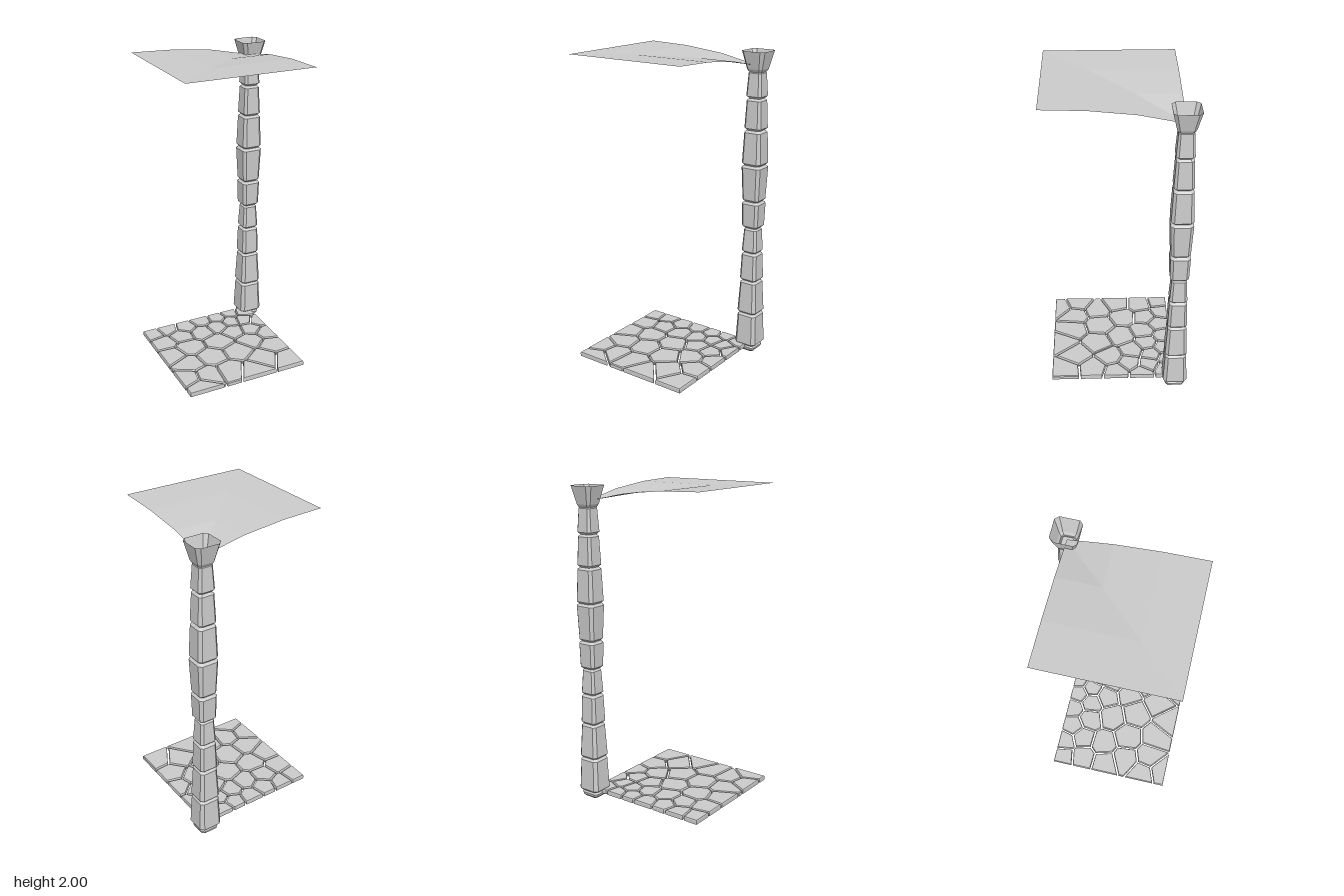
import * as THREE from 'three';

const PX = 0.362, PZ = -0.365; // pillar axis, shared corner of floor and canopy
const MIN = -0.445, MAX = 0.44;

const stoneMat = new THREE.MeshStandardMaterial({ color: 0xcccccc, flatShading: true });
const shellMat = new THREE.MeshStandardMaterial({ color: 0xcccccc, flatShading: true, side: THREE.DoubleSide });

function toMesh(positions, index, material, name) {
  const g = new THREE.BufferGeometry();
  g.setAttribute('position', new THREE.Float32BufferAttribute(positions.flat(), 3));
  g.setIndex(index);
  const flat = g.toNonIndexed();
  flat.computeVertexNormals();
  const mesh = new THREE.Mesh(flat, material);
  mesh.name = name;
  return mesh;
}

// Skin stacked rings (lowest first) and close the ends with fans
function loft(rings, material, name, capTop = true) {
  const n = rings[0].length, pos = rings.flat(), idx = [];
  for (let r = 0; r < rings.length - 1; r++) {
    for (let i = 0; i < n; i++) {
      const a = r * n + i, b = r * n + (i + 1) % n;
      idx.push(a, a + n, b, b, a + n, b + n);
    }
  }
  const last = (rings.length - 1) * n;
  for (let i = 1; i < n - 1; i++) {
    idx.push(0, i, i + 1);
    if (capTop) idx.push(last, last + i + 1, last + i);
  }
  return toMesh(pos, idx, material, name);
}

// Square ring with cut corners around the pillar axis
function ring(y, h, cut = h * 0.28) {
  const k = h - cut;
  return [[h, -k], [h, k], [k, h], [-k, h], [-h, k], [-h, -k], [-k, -h], [k, -h]]
    .map(([x, z]) => [PX + x, y, PZ + z]);
}

// Keep the part of a polygon where (p - m) . d <= 0
function clip(poly, mx, mz, dx, dz) {
  const out = [];
  poly.forEach((p, i) => {
    const q = poly[(i + 1) % poly.length];
    const sp = (p[0] - mx) * dx + (p[1] - mz) * dz;
    const sq = (q[0] - mx) * dx + (q[1] - mz) * dz;
    if (sp <= 0) out.push(p);
    if (sp * sq < 0) {
      const t = sp / (sp - sq);
      out.push([p[0] + (q[0] - p[0]) * t, p[1] + (q[1] - p[1]) * t]);
    }
  });
  return out;
}

function buildPillar() {
  const pillar = new THREE.Group();
  pillar.name = 'pillar';
  // bottom y, top y, bottom half width, top half width
  const blocks = [
    [0, 0.045, 0.06, 0.064],
    [0.045, 0.272, 0.077, 0.068],
    [0.272, 0.502, 0.07, 0.059],
    [0.502, 0.697, 0.061, 0.055],
    [0.697, 0.868, 0.055, 0.046],
    [0.868, 1.046, 0.057, 0.061],
    [1.046, 1.285, 0.059, 0.068],
    [1.285, 1.51, 0.067, 0.059],
    [1.51, 1.71, 0.059, 0.051],
    [1.71, 1.88, 0.054, 0.045],
  ];
  const bevel = 0.014;
  blocks.forEach(([y0, y1, h0, h1], i) => {
    pillar.add(loft([
      ring(y0, h0 - bevel), ring(y0 + bevel, h0), ring(y1 - bevel, h1), ring(y1, h1 - bevel),
    ], stoneMat, i ? 'pillarStone' : 'pillarFoot'));
  });
  // Flared, open topped capital
  pillar.add(loft([ring(1.872, 0.044), ring(1.89, 0.054), ring(2, 0.081)], shellMat, 'capital', false));
  return pillar;
}

function buildFloor() {
  const floor = new THREE.Group();
  floor.name = 'floor';
  // Stone centres as fractions across x and z, smaller toward the pillar and back
  const seeds = [
    [0.06, 0.07], [0.2, 0.05], [0.36, 0.09], [0.52, 0.05], [0.67, 0.07], [0.8, 0.04], [0.93, 0.07],
    [0.09, 0.24], [0.27, 0.2], [0.45, 0.22], [0.61, 0.2], [0.75, 0.17], [0.87, 0.2], [0.97, 0.26],
    [0.08, 0.45], [0.26, 0.4], [0.52, 0.42], [0.7, 0.33], [0.85, 0.36], [0.95, 0.47],
    [0.16, 0.62], [0.36, 0.6], [0.6, 0.62], [0.77, 0.52], [0.9, 0.66],
    [0.06, 0.8], [0.23, 0.83], [0.42, 0.85], [0.58, 0.93], [0.74, 0.8], [0.92, 0.9], [0.12, 0.96],
  ].map(([s, t]) => [MIN + s * (PX - MIN), PZ + t * (MAX - PZ)]);
  const gap = 0.012;
  seeds.forEach((s, i) => {
    let poly = [[MIN, PZ], [PX, PZ], [PX, MAX], [MIN, MAX]];
    seeds.forEach((o, j) => {
      if (i === j) return;
      const dx = o[0] - s[0], dz = o[1] - s[1], len = Math.hypot(dx, dz);
      const k = 0.5 - gap / 2 / len;
      poly = clip(poly, s[0] + dx * k, s[1] + dz * k, dx, dz);
    });
    const cx = poly.reduce((a, p) => a + p[0], 0) / poly.length;
    const cz = poly.reduce((a, p) => a + p[1], 0) / poly.length;
    const layer = (y, f) => poly.map(([x, z]) => [cx + (x - cx) * f, y, cz + (z - cz) * f]);
    floor.add(loft([layer(0.025, 1), layer(0.047, 1), layer(0.053, 0.96)], stoneMat, 'pavingStone'));
  });
  return floor;
}

// Quarter of a groin vault: two curved halves meeting on the diagonal
function buildCanopy() {
  const pos = [], idx = [];
  const profile = [[0, 1.908], [0.265, 1.963], [0.535, 1.991], [0.806, 2]];
  const point = (u, v, y) => [PX - u, y, PZ + v];
  for (const mirrored of [false, true]) {
    for (let i = 0; i < profile.length - 1; i++) {
      const [a, ya] = profile[i], [b, yb] = profile[i + 1];
      const quad = [[a, 0, ya], [b, 0, yb], [b, b, yb], [a, a, ya]];
      const o = pos.length;
      quad.forEach(([u, v, y]) => pos.push(mirrored ? point(v, u, y) : point(u, v, y)));
      const tris = i ? [[0, 1, 2], [0, 2, 3]] : [[0, 1, 2]];
      tris.forEach(([p, q, r]) => idx.push(o + p, o + (mirrored ? r : q), o + (mirrored ? q : r)));
    }
  }
  return toMesh(pos, idx, shellMat, 'canopy');
}

export function createModel() {
  const model = new THREE.Group();
  model.name = 'vaultedPillarCorner';
  model.add(buildPillar(), buildFloor(), buildCanopy());
  return model;
}
